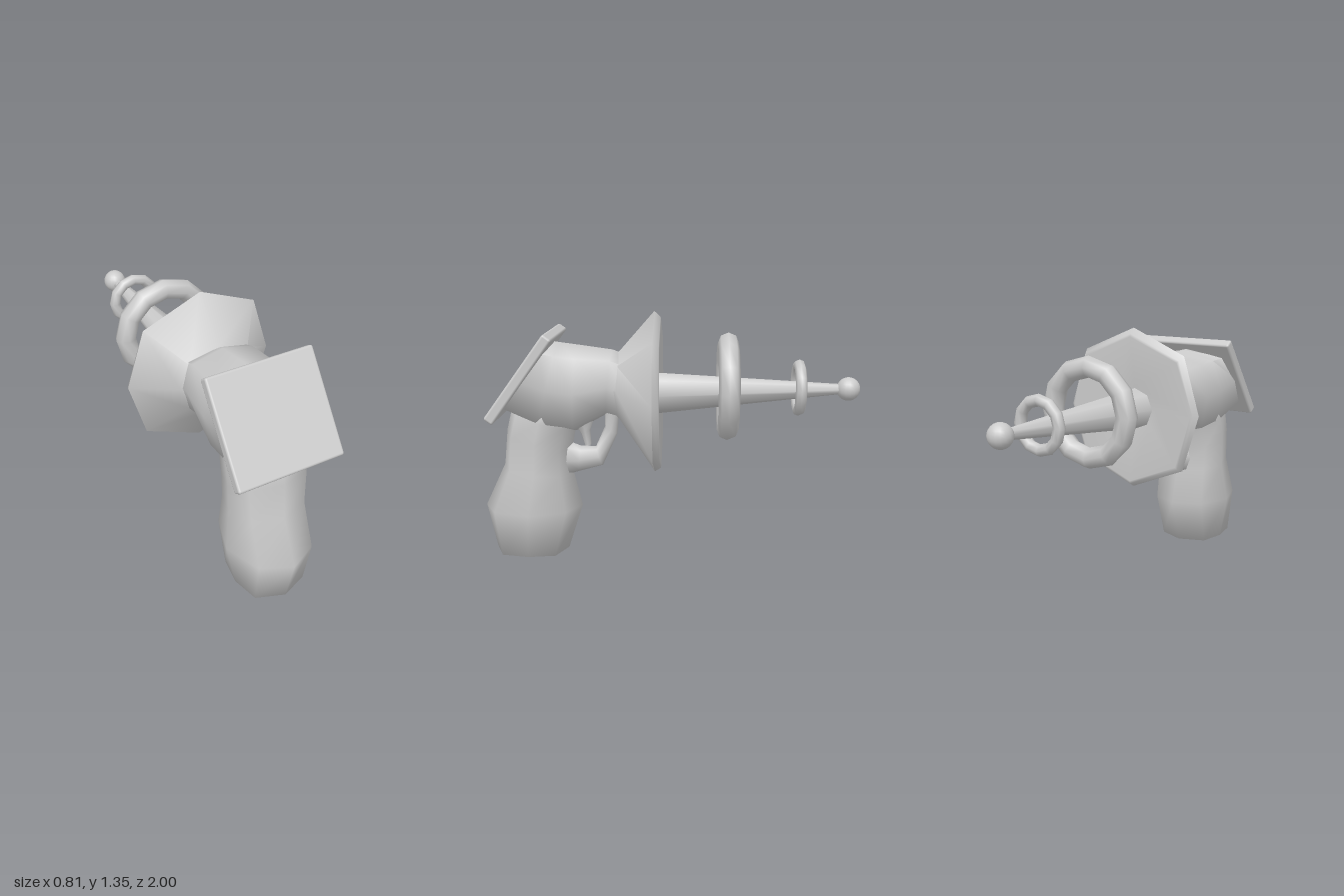
import * as THREE from 'three';
import { toCreasedNormals } from 'three/addons/utils/BufferGeometryUtils.js';
import { RoundedBoxGeometry } from 'three/addons/geometries/RoundedBoxGeometry.js';

const material = new THREE.MeshStandardMaterial({ color: 0xcccccc });

// Loft through eight-sided rings. Each section is
// [z, y of one edge, z, y of the opposite edge, half width in x, diagX].
// diagX and diagY place the diagonal corners as a share of the half sizes.
function loft(sections, { diagY = 0.75, tip = null, crease = 1.35 } = {}) {
  const sides = 8, last = sections.length - 1;
  const pos = [], index = [];
  for (const [az, ay, bz, by, w, d = 0.75] of sections) {
    const ring = [[0, 1], [d, diagY], [1, 0], [d, -diagY], [0, -1], [-d, -diagY], [-1, 0], [-d, diagY]];
    for (const [s, c] of ring) {
      pos.push(s * w, (ay + by + c * (ay - by)) / 2, (az + bz + c * (az - bz)) / 2);
    }
  }
  for (let i = 0; i < last; i++) {
    for (let j = 0; j < sides; j++) {
      const k = (j + 1) % sides, p = i * sides, q = p + sides;
      index.push(p + j, q + j, p + k, p + k, q + j, q + k);
    }
  }
  // End caps; the last one may be drawn out to a tip given as [z, y]
  const centre = ([az, ay, bz, by]) => [(az + bz) / 2, (ay + by) / 2];
  const start = centre(sections[0]), end = tip || centre(sections[last]);
  const c0 = pos.length / 3, c1 = c0 + 1, e = last * sides;
  pos.push(0, start[1], start[0], 0, end[1], end[0]);
  for (let j = 0; j < sides; j++) {
    const k = (j + 1) % sides;
    index.push(c0, j, k, c1, e + k, e + j);
  }
  const g = new THREE.BufferGeometry();
  g.setAttribute('position', new THREE.Float32BufferAttribute(pos, 3));
  g.setIndex(index);
  return toCreasedNormals(g, crease);
}

export function createModel() {
  const model = new THREE.Group();
  const add = (name, geometry, x = 0, y = 0, z = 0) => {
    const mesh = new THREE.Mesh(geometry, material);
    mesh.name = name;
    mesh.position.set(x, y, z);
    model.add(mesh);
    return mesh;
  };

  // Body between the dish and the rear screen, flaring out to the screen's back
  add('body', loft([
    [0.22, 1.12, 0.22, 0.78, 0.2, 0.8],
    [0.3, 1.15, 0.33, 0.81, 0.21, 0.8],
    [0.48, 1.175, 0.5, 0.715, 0.215, 0.82],
    [0.57, 1.187, 0.68, 0.74, 0.225, 0.85],
    [0.622, 1.195, 0.872, 0.84, 0.255, 0.9],
  ], { diagY: 0.78 }));

  // Bulging hand grip with a shallow pointed base
  add('grip', loft([
    [0.73, 0.98, 0.44, 0.9, 0.19, 0.8],
    [0.84, 0.84, 0.5, 0.74, 0.2, 0.8],
    [0.87, 0.72, 0.525, 0.62, 0.2, 0.8],
    [0.89, 0.53, 0.52, 0.49, 0.196, 0.77],
    [1.0, 0.3, 0.475, 0.3, 0.22, 0.7],
    [0.95, 0.06, 0.555, 0.055, 0.17, 0.84],
  ], { diagY: 0.72, tip: [0.76, 0.003], crease: 1.6 }));

  // Eight-sided flared dish with a shallow hollow face
  add('dish', loft([
    [0.09, 1.04, 0.09, 0.8, 0.13, 0.77],
    [0.045, 1.305, 0.045, 0.525, 0.375, 0.77],
    [0.048, 1.32, 0.048, 0.51, 0.39, 0.77],
    [0.08, 1.35, 0.08, 0.49, 0.406, 0.77],
    [0.265, 1.14, 0.265, 0.775, 0.213, 0.77],
    [0.3, 1.14, 0.3, 0.81, 0.195, 0.77],
  ], { diagY: 0.7, crease: 1.1 }));

  // Tapering barrel, its rings and the ball at its tip
  add('barrel', loft([
    [-0.92, 0.97, -0.92, 0.92, 0.025, 0.71],
    [0.12, 1.031, 0.12, 0.804, 0.115, 0.71],
  ], { diagY: 0.71 }));
  add('largeRing', new THREE.TorusGeometry(0.232, 0.055, 8, 12), 0, 0.953, -0.305);
  add('smallRing', new THREE.TorusGeometry(0.12, 0.03, 8, 12), 0, 0.95, -0.678);
  add('tipBall', new THREE.SphereGeometry(0.062, 16, 12), 0, 0.945, -0.938);

  // Trigger guard and trigger
  add('triggerGuard', loft([
    [0.57, 0.465, 0.55, 0.66, 0.08],
    [0.49, 0.49, 0.475, 0.63, 0.055],
    [0.36, 0.525, 0.395, 0.63, 0.045],
    [0.28, 0.7, 0.345, 0.74, 0.04],
    [0.265, 0.86, 0.345, 0.86, 0.06],
  ]));
  add('trigger', loft([
    [0.52, 0.76, 0.4, 0.79, 0.05],
    [0.475, 0.7, 0.425, 0.72, 0.03],
    [0.455, 0.635, 0.42, 0.64, 0.022],
  ]));

  // Tilted rear screen slab with softened edges
  const screen = add('screen', new RoundedBoxGeometry(0.572, 0.53, 0.054, 2, 0.012), 0, 1.03, 0.754);
  screen.rotation.x = -0.632;

  return model;
}
